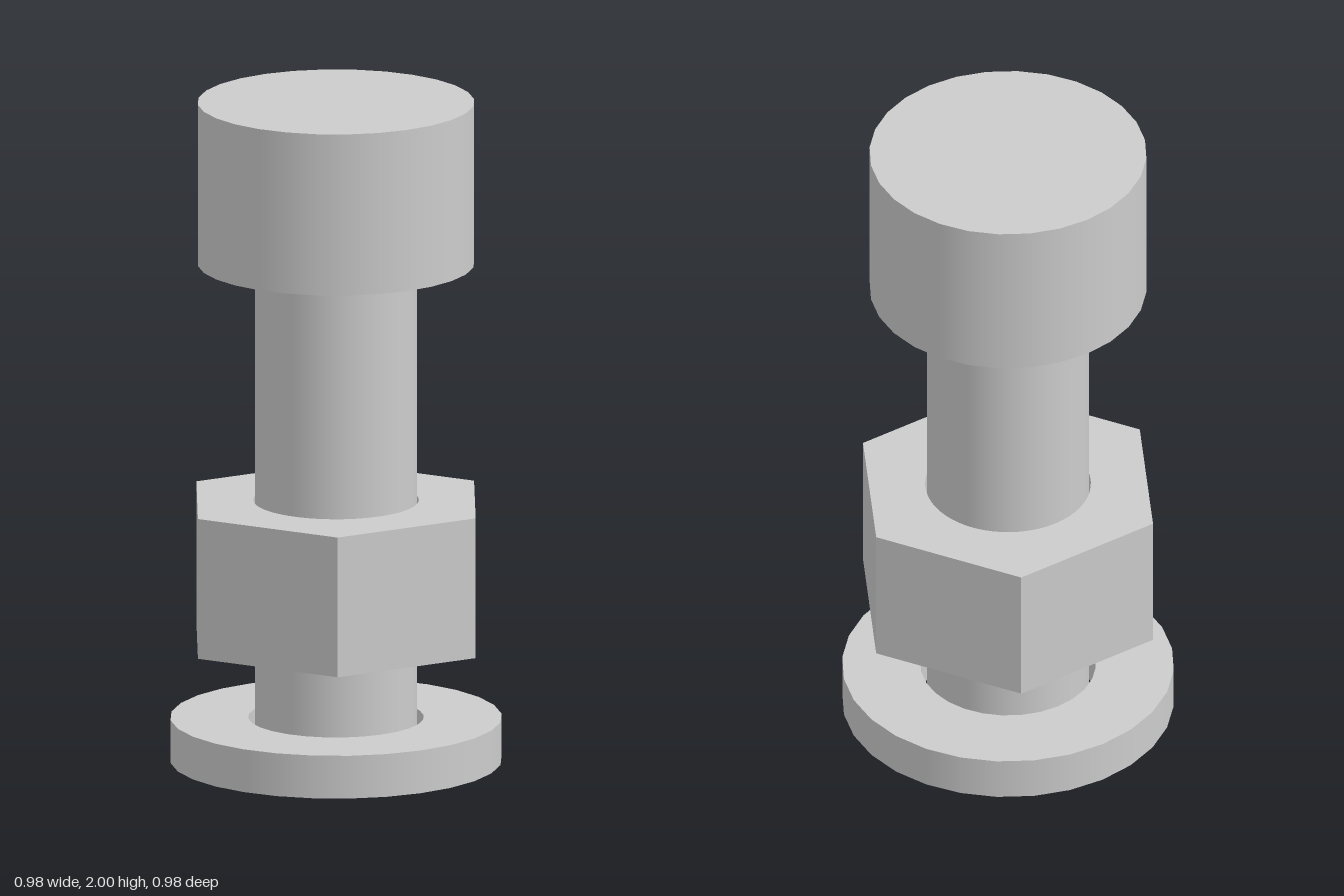
import * as THREE from 'three';

const SEGMENTS = 28;

export function createModel() {
  const model = new THREE.Group();
  model.name = 'boltWithNutAndWasher';
  const steel = new THREE.MeshStandardMaterial({ color: 0xcccccc });
  steel.name = 'grey steel';

  function add(name, geometry, y) {
    const mesh = new THREE.Mesh(geometry, steel);
    mesh.name = name;
    mesh.position.y = y;
    model.add(mesh);
  }

  // Solid cylinder between two heights
  function rod(name, radius, bottom, top) {
    add(name, new THREE.CylinderGeometry(radius, radius, top - bottom, SEGMENTS), (bottom + top) / 2);
  }

  // Upright plate with a round bore, extruded from an outline
  function bored(name, shape, bore, bottom, top) {
    const hole = new THREE.Path();
    hole.absarc(0, 0, bore, 0, Math.PI * 2, true);
    shape.holes.push(hole);
    const geometry = new THREE.ExtrudeGeometry(shape, {
      depth: top - bottom, bevelEnabled: false, curveSegments: SEGMENTS,
    });
    geometry.rotateX(-Math.PI / 2);
    add(name, geometry, bottom);
  }

  // Bolt
  rod('shank', 0.24, 0, 1.51);
  rod('head', 0.41, 1.51, 2);

  // Hexagonal nut with corners on the x axis
  const corners = Array.from({ length: 6 }, (_, i) => {
    const a = (i * Math.PI) / 3;
    return new THREE.Vector2(0.474 * Math.cos(a), 0.474 * Math.sin(a));
  });
  bored('nut', new THREE.Shape(corners), 0.245, 0.365, 0.79);

  // Washer: square-edged ring profile, each face with its own smooth normals
  const washer = new THREE.Group();
  washer.name = 'washer';
  const inner = 0.26, outer = 0.491, height = 0.13;
  const profile = [[inner, 0], [outer, 0], [outer, height], [inner, height], [inner, 0]];
  for (let i = 0; i < 4; i++) {
    const points = [profile[i], profile[i + 1]].map(([r, y]) => new THREE.Vector2(r, y));
    const face = new THREE.Mesh(new THREE.LatheGeometry(points, SEGMENTS), steel);
    face.name = ['washerUnderside', 'washerRim', 'washerTop', 'washerBore'][i];
    washer.add(face);
  }
  model.add(washer);

  return model;
}
